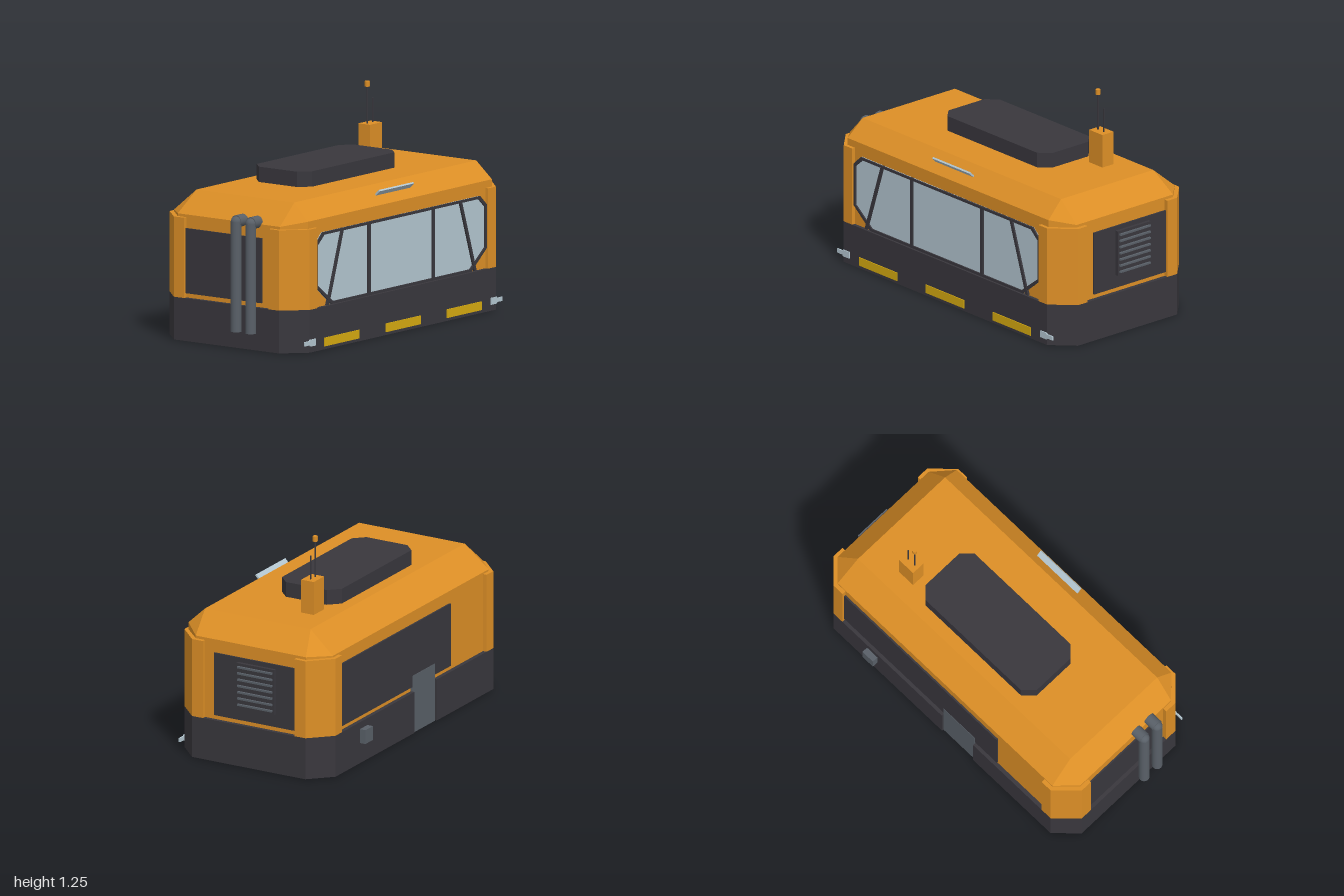
import * as THREE from 'three';

const mat = (name, color) => Object.assign(new THREE.MeshStandardMaterial({ color }), { name });

export function createModel() {
  const orange = mat('orange paint', 0xdd8f26);
  const dark = mat('dark trim', 0x39373d);
  const glass = mat('pale glass', 0xb4c7d1);
  const steel = mat('grey steel', 0x596068);
  const yellow = mat('yellow marking', 0xd6aa10);

  const root = new THREE.Group();
  root.name = 'cabinModule';

  const add = (name, geo, material) => {
    const m = new THREE.Mesh(geo, material);
    m.name = name;
    root.add(m);
    return m;
  };
  // Box given by its min and max on each axis
  const box = (name, material, x0, x1, y0, y1, z0, z1) => {
    const m = add(name, new THREE.BoxGeometry(x1 - x0, y1 - y0, z1 - z0), material);
    m.position.set((x0 + x1) / 2, (y0 + y1) / 2, (z0 + z1) / 2);
    return m;
  };
  // Prism standing upright on a plan outline of [x, z] points
  const prism = (name, material, plan, y0, y1) => {
    const shape = new THREE.Shape(plan.map(([x, z]) => new THREE.Vector2(x, -z)));
    const g = new THREE.ExtrudeGeometry(shape, { depth: y1 - y0, bevelEnabled: false });
    g.rotateX(-Math.PI / 2).translate(0, y0, 0);
    return add(name, g, material);
  };
  // Plate facing the front, cut from an [x, y] outline
  const plate = (name, material, pts, z, depth, hole) => {
    const shape = new THREE.Shape(pts.map(p => new THREE.Vector2(...p)));
    if (hole) shape.holes.push(new THREE.Path(hole.map(p => new THREE.Vector2(...p))));
    const g = new THREE.ExtrudeGeometry(shape, { depth, bevelEnabled: false });
    return add(name, g.translate(0, 0, z), material);
  };
  const rod = (name, material, r, x, y0, y1, z, sides = 10) => {
    const m = add(name, new THREE.CylinderGeometry(r, r, y1 - y0, sides), material);
    m.position.set(x, (y0 + y1) / 2, z);
    return m;
  };

  // Lower chassis with a doorway notch in the back
  prism('chassis', dark, [
    [-0.82, 0.495], [0.86, 0.495], [0.98, 0.375], [0.98, -0.345], [0.86, -0.465],
    [0.02, -0.465], [0.02, -0.44], [-0.22, -0.44], [-0.22, -0.465],
    [-0.82, -0.465], [-0.94, -0.345], [-0.94, 0.375],
  ], 0.003, 0.24);

  // Upper body: octagonal walls rising into a sloped roof
  const eaves = [
    [-0.81, 0.725, 0.475], [0.85, 0.725, 0.475], [0.957, 0.7, 0.365], [0.957, 0.7, -0.335],
    [0.85, 0.695, -0.442], [-0.81, 0.695, -0.442], [-0.917, 0.7, -0.335], [-0.917, 0.7, 0.365],
  ];
  const ridge = eaves.map(([x, , z]) => [x > 0 ? 0.84 : -0.8, 0.82, z > 0 ? 0.375 : -0.295]);
  const rings = [eaves.map(([x, , z]) => [x, 0.23, z]), eaves, ridge];
  const verts = [];
  for (let r = 0; r < 2; r++) {
    for (let i = 0; i < 8; i++) {
      const j = (i + 1) % 8;
      const [a, b, c, d] = [rings[r][i], rings[r][j], rings[r + 1][j], rings[r + 1][i]];
      verts.push(...a, ...b, ...c);
      if (c[0] !== d[0] || c[2] !== d[2]) verts.push(...a, ...c, ...d);
    }
  }
  const [p, q, s, t] = [ridge[0], ridge[1], ridge[3], ridge[5]];
  verts.push(...p, ...q, ...s, ...p, ...s, ...t);
  const bodyGeo = new THREE.BufferGeometry();
  bodyGeo.setAttribute('position', new THREE.Float32BufferAttribute(verts, 3));
  bodyGeo.computeVertexNormals();
  add('upperBody', bodyGeo, orange);

  // Wrap-around corner pillars
  for (const sx of [-1, 1]) {
    for (const sz of [-1, 1]) {
      const plan = [
        [0.77, 0.48], [0.84, 0.48], [0.96, 0.36], [0.96, 0.29],
        [0.92, 0.29], [0.92, 0.345], [0.825, 0.44], [0.77, 0.44],
      ];
      prism('cornerPillar', orange, plan.map(([x, z]) => [0.02 + sx * x, 0.015 + sz * z]), 0.24, 0.685);
    }
  }

  // Front window: glass, rim and bars
  const outline = [
    [-0.61, 0.242], [0.65, 0.242], [0.79, 0.355], [0.79, 0.595],
    [0.73, 0.65], [-0.69, 0.65], [-0.75, 0.595], [-0.75, 0.355],
  ];
  const inner = outline.map(([x, y]) => [0.02 + (x - 0.02) * 0.98, 0.446 + (y - 0.446) * 0.93]);
  plate('windowGlass', glass, outline, 0.474, 0.005);
  plate('windowRim', dark, outline, 0.475, 0.012, inner);
  const bars = [[-0.27, -0.27], [0.31, 0.31], [-0.51, -0.645], [0.55, 0.685]];
  for (const [xt, xb] of bars) {
    plate('windowBar', dark, [[xb - 0.01, 0.243], [xb + 0.01, 0.243], [xt + 0.01, 0.65], [xt - 0.01, 0.65]], 0.475, 0.014);
  }

  // Side panels, and the vent on the left side
  box('leftPanel', dark, 0.95, 0.966, 0.265, 0.625, -0.275, 0.245);
  box('rightPanel', dark, -0.926, -0.91, 0.265, 0.625, -0.275, 0.245);
  box('ventHousing', dark, 0.96, 0.985, 0.34, 0.6, -0.15, 0.09);
  for (let i = 0; i < 7; i++) {
    const y = 0.362 + i * 0.0362;
    box('ventSlat', steel, 0.98, 0.997, y - 0.005, y + 0.005, -0.14, 0.08);
  }

  // Back panel, doorway step and small box
  box('backPanel', dark, -0.39, 0.79, 0.265, 0.625, -0.452, -0.435);
  box('backDoor', steel, -0.22, 0.02, 0, 0.33, -0.454, -0.43);
  box('doorStep', steel, -0.22, 0.02, 0, 0.02, -0.45, -0.24);
  box('backBox', steel, 0.52, 0.6, 0.12, 0.2, -0.5, -0.46);

  // Roof hatch, mast box and antennas
  prism('roofHatch', dark, [
    [-0.35, 0.155], [0.39, 0.155], [0.45, 0.095], [0.45, -0.165],
    [0.39, -0.225], [-0.35, -0.225], [-0.41, -0.165], [-0.41, 0.095],
  ], 0.815, 0.905);
  box('mastBox', orange, 0.52, 0.63, 0.81, 1.01, -0.19, -0.11);
  rod('tallAntenna', dark, 0.005, 0.548, 1.0, 1.22, -0.15);
  rod('antennaCap', orange, 0.014, 0.548, 1.215, 1.245, -0.15);
  rod('shortAntenna', dark, 0.004, 0.597, 1.0, 1.145, -0.15);

  // Light bar standing out of the front roof slope
  const bar = box('roofLightBar', glass, -0.135, 0.175, 0.778, 0.788, 0.412, 0.458);
  bar.rotation.x = -Math.PI / 4;

  // Twin exhaust pipes with elbows into the right wall
  for (const z of [0.105, 0.205]) {
    rod('exhaustPipe', steel, 0.03, -0.97, 0.1, 0.71, z, 16);
    const ball = add('exhaustElbow', new THREE.SphereGeometry(0.031, 16, 8), steel);
    ball.position.set(-0.969, 0.708, z);
    const duct = rod('exhaustDuct', steel, 0.034, -0.9375, 0.6775, 0.7425, z, 16);
    duct.rotation.z = Math.PI / 2;
  }

  // Front markings and headlights
  for (const x of [-0.5325, 0.02, 0.5725]) {
    box('yellowMarking', yellow, x - 0.157, x + 0.157, 0.02, 0.068, 0.493, 0.5);
  }
  for (const s of [-1, 1]) {
    const pts = [[0.79, 0.037], [0.84, 0.037], [0.845, 0.045], [0.89, 0.045], [0.89, 0.068], [0.845, 0.068], [0.84, 0.075], [0.79, 0.075]];
    plate('headlight', glass, pts.map(([x, y]) => [0.02 + s * x, y]), 0.493, 0.008);
  }

  return root;
}
